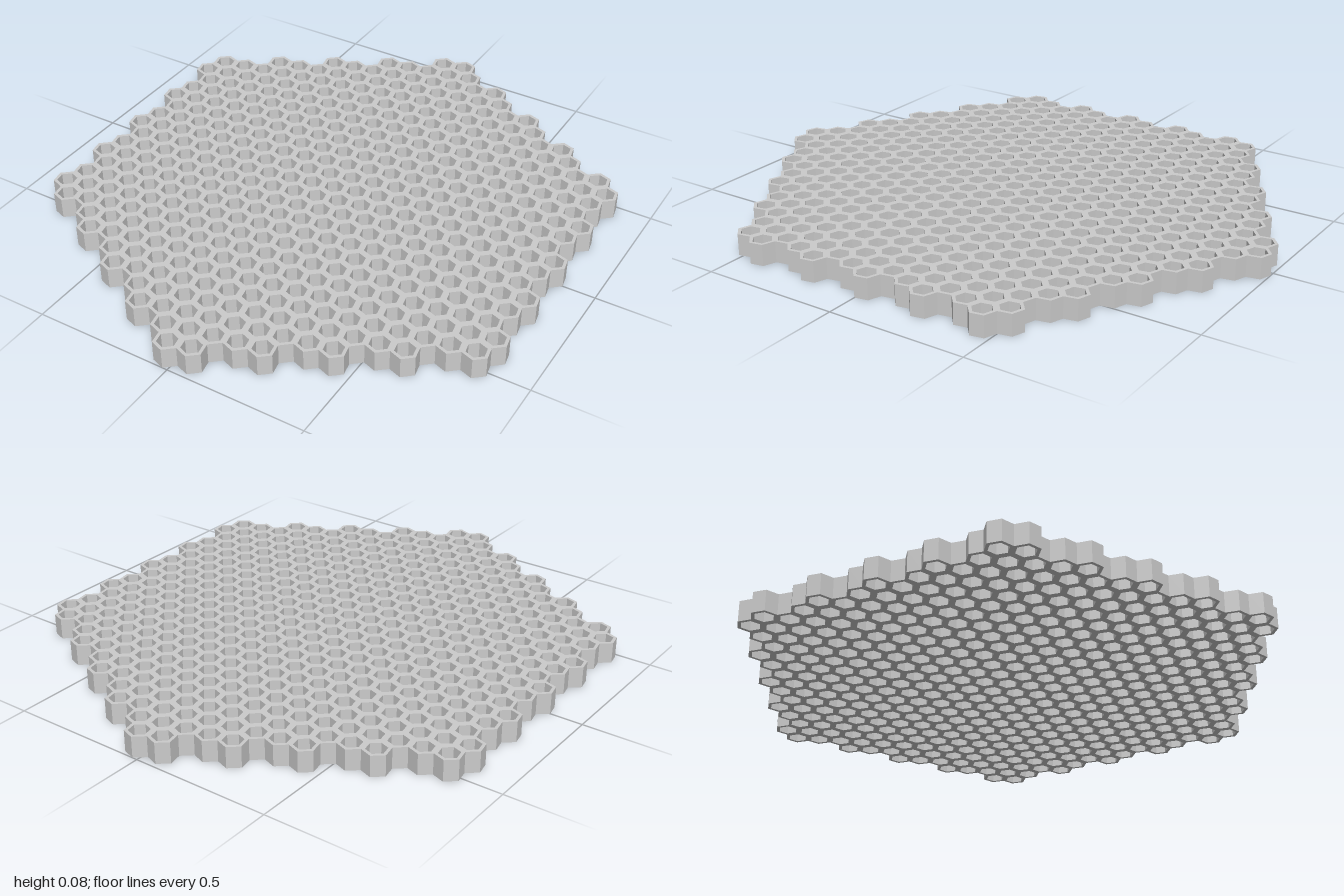
import * as THREE from 'three';

const CLUSTER = 0.21875;               // spacing of the seven-cell clusters
const CELL = CLUSTER / Math.sqrt(7);   // spacing of the cells
const OUTER = CELL / Math.sqrt(3);     // outer corner radius, so cells touch
const INNER = OUTER * 0.74;            // corner radius of the hole
const HEIGHT = 0.075;
const RINGS = 4;                       // rings of clusters around the middle one
const TWIST = Math.PI / 6 - Math.atan(Math.sqrt(3) / 5); // cell rows against cluster rows

function hexPoints(radius) {
  return Array.from({ length: 6 }, (_, i) => {
    const a = TWIST + Math.PI / 6 + (i * Math.PI) / 3;
    return new THREE.Vector2(radius * Math.cos(a), radius * Math.sin(a));
  });
}

// Open hexagonal tube standing on y = 0
function cellGeometry() {
  const shape = new THREE.Shape(hexPoints(OUTER));
  shape.holes.push(new THREE.Path(hexPoints(INNER).reverse()));
  const geo = new THREE.ExtrudeGeometry(shape, { depth: HEIGHT, bevelEnabled: false });
  return geo.rotateX(-Math.PI / 2);
}

export function createModel() {
  const model = new THREE.Group();
  model.name = 'honeycombPanel';
  const geometry = cellGeometry();
  const material = new THREE.MeshStandardMaterial({ color: 0xcccccc, flatShading: true });

  // One cell with six neighbours around it
  function addCluster(x, z) {
    const cluster = new THREE.Group();
    cluster.name = 'cellCluster';
    cluster.position.set(x, 0, z);
    for (let i = 0; i < 7; i++) {
      const cell = new THREE.Mesh(geometry, material);
      cell.name = i === 0 ? 'centreCell' : 'ringCell';
      if (i > 0) {
        const a = TWIST + (i * Math.PI) / 3;
        cell.position.set(CELL * Math.cos(a), 0, -CELL * Math.sin(a));
      }
      cluster.add(cell);
    }
    model.add(cluster);
  }

  // Clusters fill a large hexagon with corners at front and back
  for (let q = -RINGS; q <= RINGS; q++) {
    for (let r = -RINGS; r <= RINGS; r++) {
      if (Math.abs(q + r) > RINGS) continue;
      addCluster((CLUSTER * q * Math.sqrt(3)) / 2, CLUSTER * (r + q / 2));
    }
  }
  return model;
}
